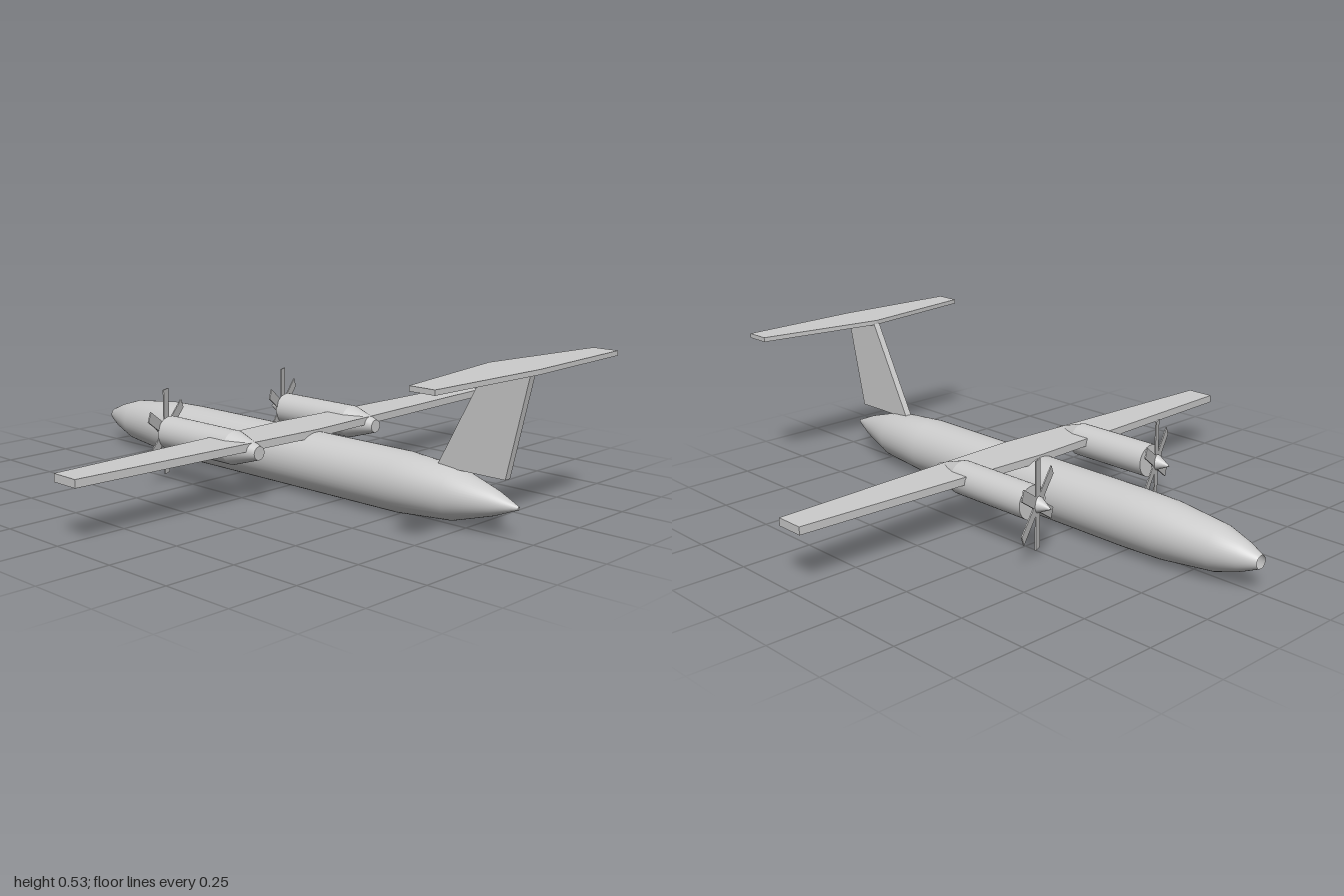
import * as THREE from 'three';

const grey = new THREE.MeshStandardMaterial({ color: 0xcccccc });
const greyDouble = new THREE.MeshStandardMaterial({ color: 0xcccccc, side: THREE.DoubleSide });

function part(name, geometry, material = grey) {
  const mesh = new THREE.Mesh(geometry, material);
  mesh.name = name;
  return mesh;
}

// Flat plate cut from an outline, centred on its own thickness
function plate(points, thickness) {
  const shape = new THREE.Shape(points.map(([x, y]) => new THREE.Vector2(x, y)));
  const g = new THREE.ExtrudeGeometry(shape, { depth: thickness, bevelEnabled: false });
  return g.translate(0, 0, -thickness / 2);
}

// Tapered surface, mirrored about x = 0; z ranges for root and tip
function liftingSurface(name, y, thickness, halfSpan, root, tip) {
  const g = plate([
    [0, root[0]], [halfSpan, tip[0]], [halfSpan, tip[1]],
    [0, root[1]], [-halfSpan, tip[1]], [-halfSpan, tip[0]],
  ], thickness);
  g.rotateX(Math.PI / 2);
  g.translate(0, y, 0);
  return part(name, g);
}

// Body of revolution along z from [z, radius] pairs, given nose to tail
function revolve(profile, segments) {
  const points = profile.map(([z, r]) => new THREE.Vector2(r, z));
  return new THREE.LatheGeometry(points, segments).rotateX(Math.PI / 2);
}

function createEngine() {
  const engine = new THREE.Group();

  // Nacelle: straight barrel and tapered tail
  const barrel = new THREE.CylinderGeometry(0.058, 0.058, 0.33, 32).rotateX(Math.PI / 2);
  engine.add(part('nacelleBarrel', barrel.translate(0, 0, -0.155)));
  const tail = new THREE.CylinderGeometry(0.023, 0.058, 0.115, 32).rotateX(Math.PI / 2);
  engine.add(part('nacelleTail', tail.translate(0, 0, 0.0675)));

  // Pointed spinner
  const spinner = new THREE.ConeGeometry(0.028, 0.06, 24).rotateX(-Math.PI / 2);
  engine.add(part('spinner', spinner.translate(0, 0, -0.375)));

  // Six flat blades in one slanted plane
  const propeller = new THREE.Group();
  propeller.name = 'propeller';
  for (let i = 0; i < 6; i++) {
    const blade = part('propellerBlade', new THREE.BoxGeometry(0.038, 0.15, 0.004).translate(0, 0.075, 0));
    blade.rotation.z = (i * Math.PI) / 3;
    propeller.add(blade);
  }
  propeller.position.z = -0.343;
  propeller.rotation.y = 0.425;
  engine.add(propeller);
  return engine;
}

export function createModel() {
  const model = new THREE.Group();
  model.name = 'propellerAirliner';

  // Fuselage, open at nose and tail tips
  const fuselage = part('fuselage', revolve([
    [-1, 0.022], [-0.94, 0.048], [-0.85, 0.076], [-0.65, 0.098], [-0.5, 0.102],
    [0.5, 0.102], [0.71, 0.085], [0.86, 0.04], [0.945, 0.005],
  ], 48), greyDouble);
  fuselage.position.y = 0.102;
  model.add(fuselage);

  // Main wing and high tailplane
  model.add(liftingSurface('wing', 0.199, 0.027, 0.977, [-0.075, 0.11], [-0.037, 0.067]));
  model.add(liftingSurface('tailplane', 0.523, 0.016, 0.459, [0.82, 1], [0.89, 0.98]));

  // Swept vertical fin; outline is [-z, y] before turning
  const fin = plate([[-0.9, 0.183], [-0.64, 0.183], [-0.82, 0.518], [-0.978, 0.518]], 0.025);
  model.add(part('fin', fin.rotateY(Math.PI / 2)));

  // Engines under both wings
  for (const [name, x] of [['leftEngine', 0.287], ['rightEngine', -0.287]]) {
    const engine = createEngine();
    engine.name = name;
    engine.position.set(x, 0.181, 0);
    model.add(engine);
  }
  return model;
}
